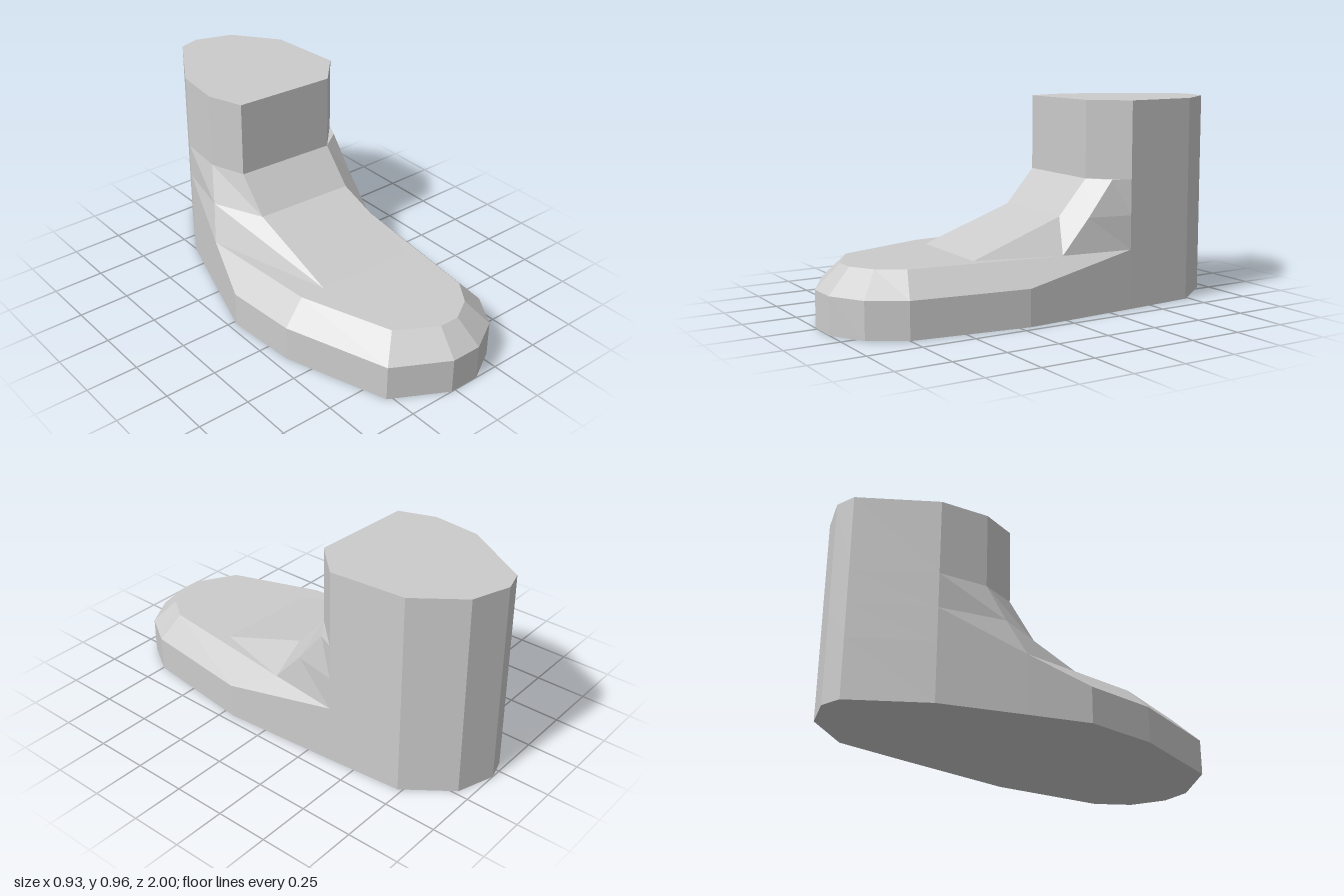
import * as THREE from 'three';

const material = new THREE.MeshStandardMaterial({ color: 0xcccccc, flatShading: true });

// Skins a stack of equal-length loops of [x, y, z] and closes the chosen ends.
function loft(name, loops, capBottom, capTop) {
  const pos = [];
  const tri = (a, b, c) => pos.push(...a, ...b, ...c);
  const n = loops[0].length;
  for (let k = 0; k < loops.length - 1; k++) {
    const lo = loops[k], hi = loops[k + 1];
    for (let i = 0; i < n; i++) {
      const j = (i + 1) % n;
      tri(lo[i], hi[i], hi[j]);
      tri(lo[i], hi[j], lo[j]);
    }
  }
  const first = loops[0], last = loops[loops.length - 1];
  for (let i = 1; i < n - 1; i++) {
    if (capBottom) tri(first[0], first[i], first[i + 1]);
    if (capTop) tri(last[0], last[i + 1], last[i]);
  }
  const geometry = new THREE.BufferGeometry();
  geometry.setAttribute('position', new THREE.Float32BufferAttribute(pos, 3));
  geometry.computeVertexNormals();
  const mesh = new THREE.Mesh(geometry, material);
  mesh.name = name;
  return mesh;
}

const atHeight = (points, y) => points.map(([x, z]) => [x, y, z]);

export function createModel() {
  const group = new THREE.Group();
  group.name = 'boot';

  // Heel corners shared by foot and leg, either side of the rear point
  const heelLeft = [[0.05, -1], [0.23, -0.94], [0.39, -0.73], [0.42, -0.37]];
  const heelRight = [[-0.25, -0.64], [-0.05, -0.97]];

  // Foot: upright sole wall, then a bevel up to the flat instep
  const outer = [...heelLeft, [0.46, 0.2], [0.39, 0.75], [0.29, 0.91], [0.13, 1], [-0.02, 1],
    [-0.275, 0.86], [-0.44, 0.37], [-0.465, 0.02], [-0.375, -0.26], ...heelRight];
  const inner = [...heelLeft, [0.38, -0.02], [0.29, 0.71], [0.21, 0.825], [0.1, 0.89], [0, 0.89],
    [-0.185, 0.78], [-0.335, 0.35], [-0.375, -0.26], [-0.375, -0.26], ...heelRight];
  // the bevel runs out to nothing at the heel
  const rim = outer.map(([x, z], i) => [x, i > 3 && i < 12 ? 0.17 : 0.28, z]);
  group.add(loft('foot', [atHeight(outer, 0), rim, atHeight(inner, 0.28)], true, true));

  // Ankle and leg: sloping tongue in front, straight heel wall behind
  const section = (y, side, frontLeft, frontRight, right) =>
    atHeight([...heelLeft, side, frontLeft, frontRight, right, ...heelRight], y);
  const legFront = [[0.35, -0.295], [0.275, -0.215], [-0.215, -0.24], [-0.275, -0.41]];
  group.add(loft('ankle', [
    section(0.28, [0.38, -0.02], [0.275, 0.38], [-0.215, 0.36], [-0.375, -0.26]),
    section(0.44, [0.38, -0.16], [0.275, -0.07], [-0.215, -0.095], [-0.322, -0.335]),
    section(0.605, [0.38, -0.29], ...legFront.slice(1)),
  ], false, true));
  group.add(loft('leg', [section(0.605, ...legFront), section(0.965, ...legFront)], false, true));

  return group;
}
